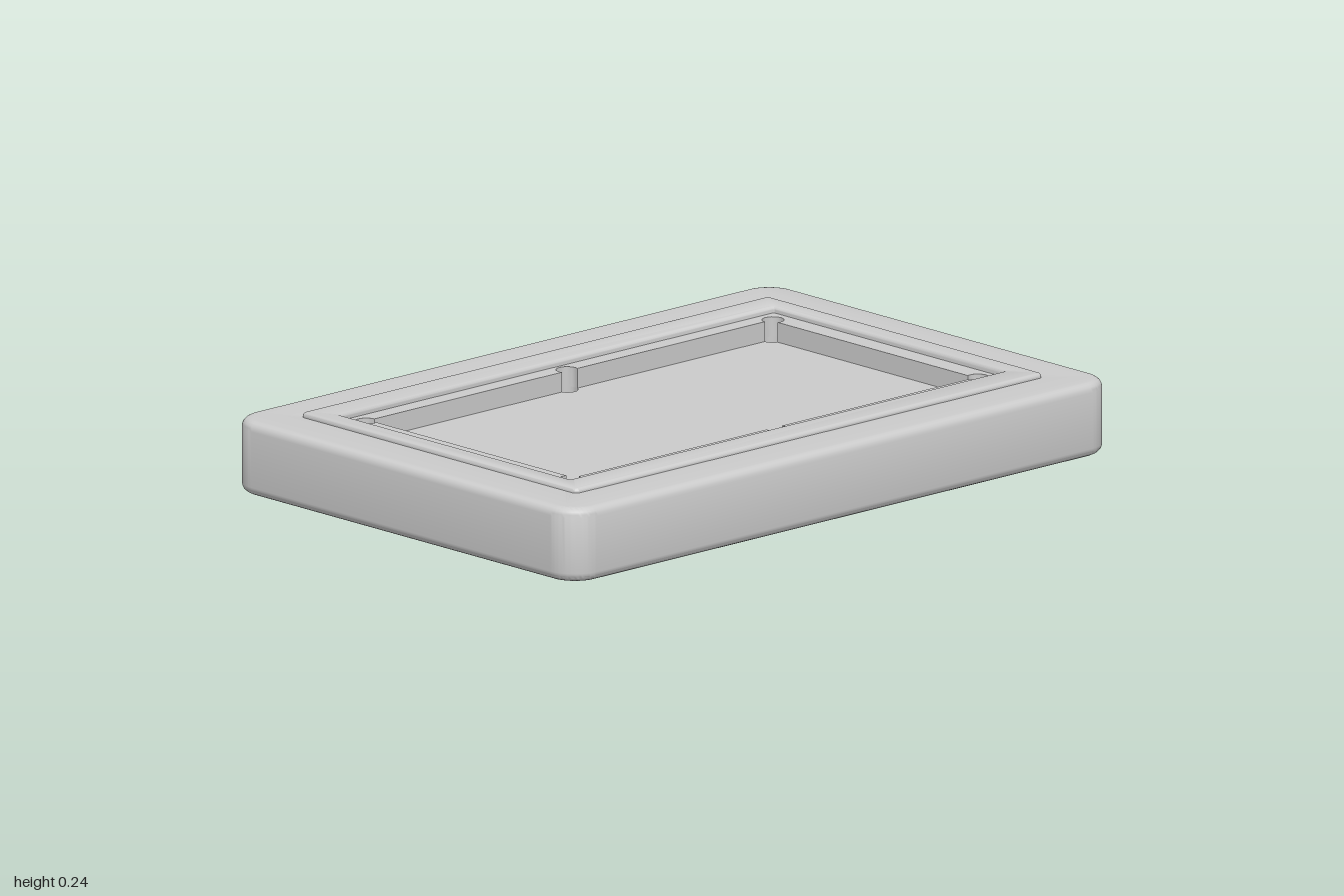
import * as THREE from 'three';
import { toCreasedNormals } from 'three/addons/utils/BufferGeometryUtils.js';

const material = new THREE.MeshStandardMaterial({ color: 0xcccccc });
const POCKET_R = 0.03;
const POCKETS = [[0.4, 0.75], [0.41, 0], [0.4, -0.75], [-0.4, 0.75], [-0.41, 0], [-0.4, -0.75]];

// Rounded rectangle traced on a Shape or Path, from half sizes and corner radius
function roundRect(path, w, h, r) {
  path.moveTo(w, -h + r);
  path.absarc(w - r, h - r, r, 0, Math.PI / 2);
  path.absarc(-w + r, h - r, r, Math.PI / 2, Math.PI);
  path.absarc(-w + r, -h + r, r, Math.PI, Math.PI * 1.5);
  path.absarc(w - r, -h + r, r, Math.PI * 1.5, Math.PI * 2);
  path.closePath();
  return path;
}

// Lays a shape flat and extrudes it from y0 to y1, rounding its rims by bevel
function slab(name, shape, y0, y1, bevel = 0) {
  const geo = new THREE.ExtrudeGeometry(shape, {
    depth: y1 - y0 - 2 * bevel,
    bevelEnabled: bevel > 0,
    bevelThickness: bevel,
    bevelSize: bevel,
    bevelOffset: -bevel,
    bevelSegments: 5,
    curveSegments: 12,
  });
  geo.rotateX(-Math.PI / 2);
  geo.translate(0, y0 + bevel, 0);
  const mesh = new THREE.Mesh(toCreasedNormals(geo, 0.6), material);
  mesh.name = name;
  return mesh;
}

// Playing area outline with round notches at the corners and long-side middles
function playOutline() {
  const tilt = Math.asin(1 / 3);
  const arc = (cx, cy, a0, a1) => Array.from({ length: 17 }, (_, i) => {
    const a = a0 + (a1 - a0) * i / 16;
    return [cx + POCKET_R * Math.cos(a), cy + POCKET_R * Math.sin(a)];
  });
  const corner = arc(0.4, 0.75, -Math.PI / 2, Math.PI + tilt);
  const side = arc(0.41, 0, -Math.PI / 2 - tilt, Math.PI / 2 + tilt);
  const half = [...side, ...corner, ...corner.map(([x, y]) => [-x, y]).reverse()];
  const all = [...half, ...half.map(([x, y]) => [-x, -y])];
  return new THREE.Path(all.map(([x, y]) => new THREE.Vector2(x, y)));
}

export function createModel() {
  const group = new THREE.Group();
  group.name = 'poolTable';

  // Thick outer body with rounded corners and rims
  const body = roundRect(new THREE.Shape(), 0.675, 1, 0.09);
  body.holes.push(roundRect(new THREE.Path(), 0.47, 0.82, 0.01));
  group.add(slab('outerBody', body, 0.02, 0.225, 0.025));

  // Inner frame standing slightly proud above and below the body
  const frame = roundRect(new THREE.Shape(), 0.538, 0.862, 0.015);
  frame.holes.push(roundRect(new THREE.Path(), 0.45, 0.8, 0.004));
  group.add(slab('innerFrame', frame, 0, 0.238, 0.01));

  // Cushions around the playing area, notched at the pockets
  const cushions = roundRect(new THREE.Shape(), 0.46, 0.81, 0.004);
  cushions.holes.push(playOutline());
  group.add(slab('cushions', cushions, 0.165, 0.22));

  // Playing bed with pocket holes right through
  const bed = roundRect(new THREE.Shape(), 0.46, 0.81, 0.004);
  for (const [x, z] of POCKETS) {
    bed.holes.push(new THREE.Path().absarc(x, z, POCKET_R, 0, Math.PI * 2, true));
  }
  group.add(slab('playingBed', bed, 0.05, 0.165));

  return group;
}
